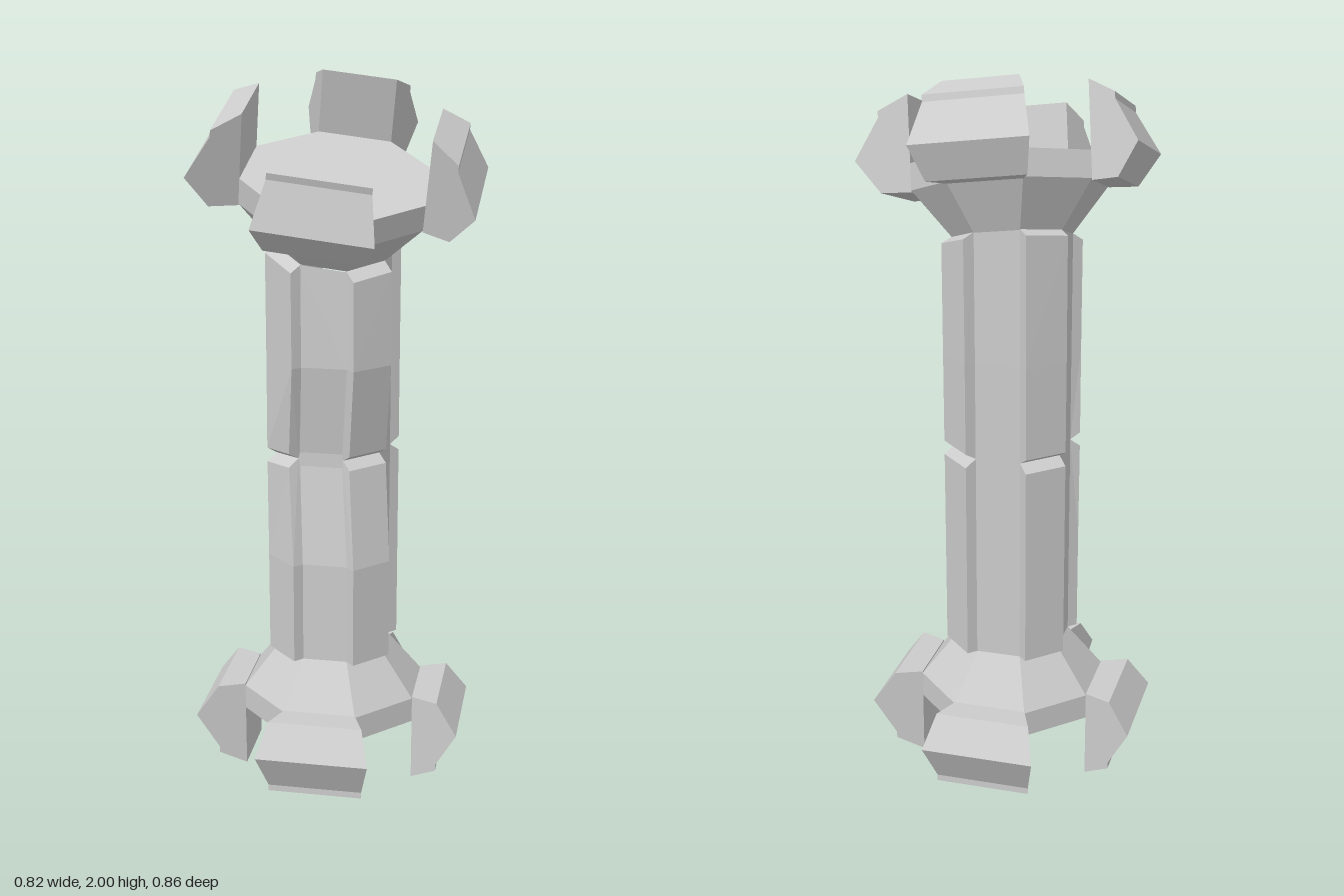
import * as THREE from 'three';
import { mergeGeometries } from 'three/addons/utils/BufferGeometryUtils.js';

const STEP = Math.PI / 4;
const COLLAR = 0.38;   // height where the base meets the shaft
const TOP = 1.557;     // pivot of the tilted capital
const TILT = THREE.MathUtils.degToRad(18);
const R = 0.163;       // corner radius of the shaft

const material = new THREE.MeshStandardMaterial({ color: 0xcccccc, flatShading: true });

function addMesh(parent, name, geometry) {
  const mesh = new THREE.Mesh(geometry, material);
  mesh.name = name;
  parent.add(mesh);
}

const toPoints = (list) => list.map(([r, y]) => new THREE.Vector2(r, y));

// Octagonal solid from a profile of [radius, height], listed upwards
const octagon = (profile) => new THREE.LatheGeometry(toPoints(profile), 8);

// One octagon side cut from a closed profile, with both ends capped
function sector(profile, start) {
  const ring = new THREE.LatheGeometry(toPoints([...profile, profile[0]]), 1, start, STEP);
  const capA = new THREE.ShapeGeometry(new THREE.Shape(toPoints(profile)));
  capA.rotateY(start - Math.PI / 2);
  const capB = new THREE.ShapeGeometry(new THREE.Shape(toPoints(profile.map(([r, y]) => [-r, y]))));
  capB.rotateY(start + STEP + Math.PI / 2);
  return mergeGeometries([ring, capA, capB]);
}

// Straight-sided panel on one shaft face, from a profile of [thickness, height]
function panel(profile, start) {
  const width = 2 * R * Math.sin(STEP / 2);
  const geometry = new THREE.ExtrudeGeometry(new THREE.Shape(toPoints(profile)), { depth: width, bevelEnabled: false });
  geometry.translate(R * Math.cos(STEP / 2), 0, -width / 2);
  return geometry.rotateY(start + STEP / 2 - Math.PI / 2);
}

// Dents the front at mid height and tips the shaft's upper end towards the front
function bendShaft(geometry) {
  const p = geometry.attributes.position;
  const clamp = THREE.MathUtils.clamp;
  for (let i = 0; i < p.count; i++) {
    const y = p.getY(i), z = p.getZ(i);
    const dent = clamp(1 - (Math.abs(y - 0.965) - 0.02) / 0.275, 0, 1);
    const tip = clamp((y - 1.24) / (TOP - 1.24), 0, 1);
    p.setY(i, y - z * Math.tan(TILT) * tip);
    p.setZ(i, z * (1 - (1 - Math.cos(TILT)) * tip) - 0.051 * dent * clamp(z / 0.115, 0, 1));
  }
  geometry.computeVertexNormals();
  return geometry;
}

// Flared end with a block on every second side; profiles run away from the shaft
const FLARE = [[R, 0], [0.265, 0.125], [0.265, 0.197], [0, 0.197]];
const BLOCK = [[0.265, 0.12], [0.345, 0.12], [0.41, 0.205], [0.345, 0.317], [0.345, 0.335], [0.265, 0.378]];
const flip = (profile) => profile.map(([r, h]) => [r, -h]).reverse();

function flaredEnd(name, shape) {
  const end = new THREE.Group();
  end.name = name;
  addMesh(end, name + 'Flare', octagon(shape(FLARE)));
  for (let k = 0; k < 4; k++) addMesh(end, name + 'Block', sector(shape(BLOCK), (2 * k - 1) * STEP));
  return end;
}

export function createModel() {
  const model = new THREE.Group();
  model.name = 'column';
  const body = new THREE.Group();
  body.name = 'columnBody';
  body.position.z = -0.022;
  model.add(body);

  // Base, and the same form turned over as a tilted capital
  const base = flaredEnd('base', flip);
  base.position.y = COLLAR;
  const capital = flaredEnd('capital', (profile) => profile);
  capital.position.y = TOP;
  capital.rotation.x = TILT;
  body.add(base, capital);

  // Shaft core
  addMesh(body, 'shaftCore', bendShaft(octagon([COLLAR, 0.67, 0.945, 0.985, 1.24, TOP].map((y) => [R, y]))));

  // Raised panels on the sides between the blocks, bevelled where lower and upper meet
  const back = -0.005, thick = 0.031;
  const lower = [[back, COLLAR], [thick, COLLAR], [thick, 0.67], [thick, 0.945], [0, 0.967], [back, 0.967], [back, 0.67]];
  const upper = [[back, 0.967], [0, 0.967], [thick, 0.985], [thick, 1.24], [thick, 1.54], [0, TOP], [back, TOP], [back, 1.24]];
  for (let k = 0; k < 4; k++) {
    addMesh(body, 'lowerPanel', bendShaft(panel(lower, 2 * k * STEP)));
    addMesh(body, 'upperPanel', bendShaft(panel(upper, 2 * k * STEP)));
  }

  return model;
}
